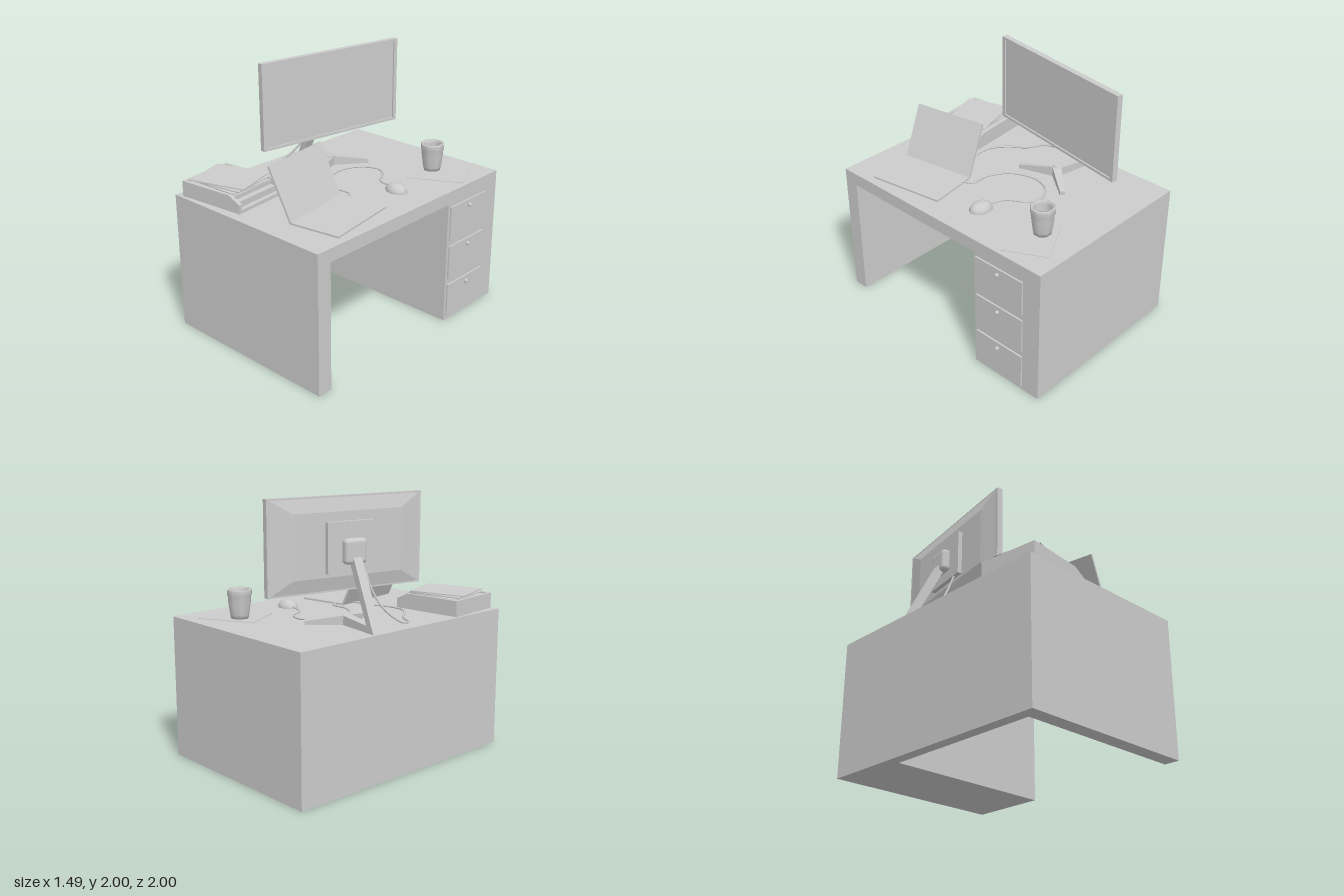
import * as THREE from 'three';
import { RoundedBoxGeometry } from 'three/addons/geometries/RoundedBoxGeometry.js';

const TOP = 1.08; // height of the desk surface
const grey = new THREE.MeshStandardMaterial({ color: 0xcccccc, side: THREE.DoubleSide });

function add(parent, name, geometry, x = 0, y = 0, z = 0) {
  const mesh = new THREE.Mesh(geometry, grey);
  mesh.name = name;
  mesh.position.set(x, y, z);
  parent.add(mesh);
  return mesh;
}

// box given by its limits on each axis
function block(parent, name, x0, x1, y0, y1, z0, z1) {
  const g = new THREE.BoxGeometry(x1 - x0, y1 - y0, z1 - z0);
  return add(parent, name, g, (x0 + x1) / 2, (y0 + y1) / 2, (z0 + z1) / 2);
}

function group(parent, name, x, z, turn) {
  const g = new THREE.Group();
  g.name = name;
  g.position.set(x, 0, z);
  g.rotation.y = turn;
  parent.add(g);
  return g;
}

const outline = pts => new THREE.Shape(pts.map(p => new THREE.Vector2(...p)));
const extrude = (shape, depth) => new THREE.ExtrudeGeometry(shape, { depth, bevelEnabled: false });

function cable(parent, name, pts) {
  const curve = new THREE.CatmullRomCurve3(pts.map(p => new THREE.Vector3(...p)));
  add(parent, name, new THREE.TubeGeometry(curve, 60, 0.008, 6));
}

function buildDesk(root) {
  const desk = group(root, 'desk', 0, 0, 0);
  block(desk, 'deskTop', -0.75, 0.7, 0.98, TOP, -1, 1);
  block(desk, 'sidePanel', -0.75, 0.7, 0, 0.98, 0.88, 1);
  block(desk, 'backPanel', -0.75, -0.66, 0, 0.98, -0.39, 0.88);
  block(desk, 'drawerCabinet', -0.75, 0.7, 0, 0.98, -1, -0.39);
  for (const y of [0.03, 0.355, 0.68]) {
    block(desk, 'drawerFront', 0.69, 0.713, y, y + 0.275, -0.85, -0.412);
    add(desk, 'drawerKnob', new THREE.SphereGeometry(0.016, 12, 8), 0.725, y + 0.235, -0.63);
  }
}

function buildMonitor(root) {
  const m = group(root, 'monitor', -0.34, -0.23, -0.17);
  const cy = 1.665, w = 1.28, h = 0.67;

  // frame with a shallow recessed screen, facing +x
  const frame = outline([[-w / 2, -h / 2], [w / 2, -h / 2], [w / 2, h / 2], [-w / 2, h / 2]]);
  const a = w / 2 - 0.03, b = h / 2 - 0.02;
  frame.holes.push(new THREE.Path([[-a, -b], [-a, b], [a, b], [a, -b]].map(p => new THREE.Vector2(...p))));
  add(m, 'monitorFrame', extrude(frame, 0.045).rotateY(Math.PI / 2), -0.0225, cy, 0);
  block(m, 'screen', -0.022, 0.01, cy - b, cy + b, -a, a);

  // back shell narrowing away from the screen
  const shell = new THREE.BoxGeometry(0.026, 0.65, 1.24);
  const p = shell.attributes.position;
  for (let i = 0; i < p.count; i++) {
    if (p.getX(i) < 0) p.setXYZ(i, p.getX(i), p.getY(i) * 0.7, p.getZ(i) * 0.73);
  }
  shell.computeVertexNormals();
  add(m, 'backShell', shell, -0.035, cy, 0);
  block(m, 'mountPlate', -0.082, -0.045, cy - 0.2, cy + 0.16, -0.195, 0.195);
  add(m, 'mountHead', new RoundedBoxGeometry(0.075, 0.18, 0.18, 2, 0.03), -0.115, 1.62, 0);

  // leaning arm continuing into the foot stem
  const arm = outline([[-0.4, TOP], [0, TOP], [0, 1.15], [-0.315, 1.13], [-0.1, 1.56], [-0.155, 1.58]]);
  add(m, 'standArm', extrude(arm, 0.07), 0, 0, -0.035);

  // splayed feet, lower towards the tips
  const feet = outline([[0.03, 0], [0.16, 0.245], [0.125, 0.265], [-0.03, 0.03],
    [-0.03, -0.03], [0.125, -0.265], [0.16, -0.245]]);
  const fg = extrude(feet, 0.07).rotateX(Math.PI / 2).translate(0, 0.07, 0);
  const fp = fg.attributes.position;
  for (let i = 0; i < fp.count; i++) {
    if (fp.getY(i) > 0.03) fp.setY(i, 0.075 - 0.18 * Math.abs(fp.getZ(i)));
  }
  fg.computeVertexNormals();
  add(m, 'standFeet', fg, 0, TOP, 0);
}

function buildLaptop(root) {
  const l = group(root, 'laptop', 0.19, 0.5, 0.155);
  block(l, 'laptopBase', 0, 0.405, TOP, TOP + 0.014, -0.303, 0.303);
  const lid = outline([[0, 0], [0.016, 0.006], [-0.162, 0.385], [-0.178, 0.378]]);
  add(l, 'laptopLid', extrude(lid, 0.606), 0, TOP + 0.004, -0.303);
}

function buildMug(root) {
  const mat = group(root, 'sheet', 0.395, -0.653, 0.49);
  block(mat, 'paperSheet', -0.218, 0.218, TOP, TOP + 0.004, -0.17, 0.17);
  const profile = [[0, 0], [0.066, 0], [0.072, 0.03], [0.085, 0.12], [0.085, 0.165], [0.093, 0.172],
    [0.093, 0.21], [0.088, 0.218], [0.07, 0.218], [0.068, 0.19], [0.055, 0.03], [0, 0.03]];
  const geo = new THREE.LatheGeometry(profile.map(q => new THREE.Vector2(...q)), 8);
  add(root, 'mug', geo, 0.315, TOP + 0.003, -0.675).rotation.y = Math.PI / 8;
}

function buildMouse(root) {
  const dome = new THREE.SphereGeometry(1, 10, 5, 0, Math.PI * 2, 0, Math.PI / 2).scale(0.095, 0.062, 0.072);
  add(root, 'mouse', dome, 0.39, TOP, -0.155).rotation.y = -0.15;
}

function buildTray(root) {
  const t = group(root, 'paperTray', -0.435, 0.72, 0.104);
  const L = 0.278, W = 0.23;
  block(t, 'trayFloor', -L, L, TOP, TOP + 0.025, -W, W);
  block(t, 'trayBack', -L, -L + 0.025, TOP, 1.2, -W, W);
  const side = outline([[-L, TOP], [L, TOP], [L, 1.15], [L - 0.1, 1.2], [-L, 1.2]]);
  for (const z of [-W, W - 0.025]) add(t, 'traySide', extrude(side, 0.025), 0, 0, z);

  // loose paper stacks, each turned a little
  block(t, 'paperStack', -0.25, 0.24, 1.105, 1.15, -0.2, 0.2);
  block(t, 'paperStack', -0.25, 0.2, 1.155, 1.185, -0.2, 0.2);
  const turns = [-0.06, 0.07, 0.2];
  turns.forEach((turn, i) => {
    const y = 1.19 + i * 0.013;
    const s = block(t, 'looseSheets', -0.24, 0.2, y, y + 0.008, -0.18, 0.18);
    s.rotation.y = turn;
  });
}

export function createModel() {
  const root = new THREE.Group();
  root.name = 'deskWorkspace';
  buildDesk(root);
  buildMonitor(root);
  buildLaptop(root);
  buildMug(root);
  buildMouse(root);
  buildTray(root);

  const y = TOP + 0.008;
  cable(root, 'mouseCable', [[0.31, y + 0.008, -0.17], [0.19, y, -0.21], [0.1, y, -0.34], [0, y, -0.385],
    [-0.13, y, -0.31], [-0.18, y, -0.16], [-0.11, y, 0.03], [0.05, y, 0.125], [0.18, y, 0.13], [0.225, y, 0.2]]);
  cable(root, 'monitorCable', [[-0.43, 1.47, -0.12], [-0.48, 1.35, -0.115], [-0.57, 1.2, -0.07], [-0.64, 1.1, 0.04],
    [-0.62, y, 0.13], [-0.5, y, 0.2], [-0.4, y, 0.32], [-0.3, y, 0.4], [-0.18, y, 0.415], [0, y, 0.36], [0.17, y, 0.34]]);
  return root;
}
